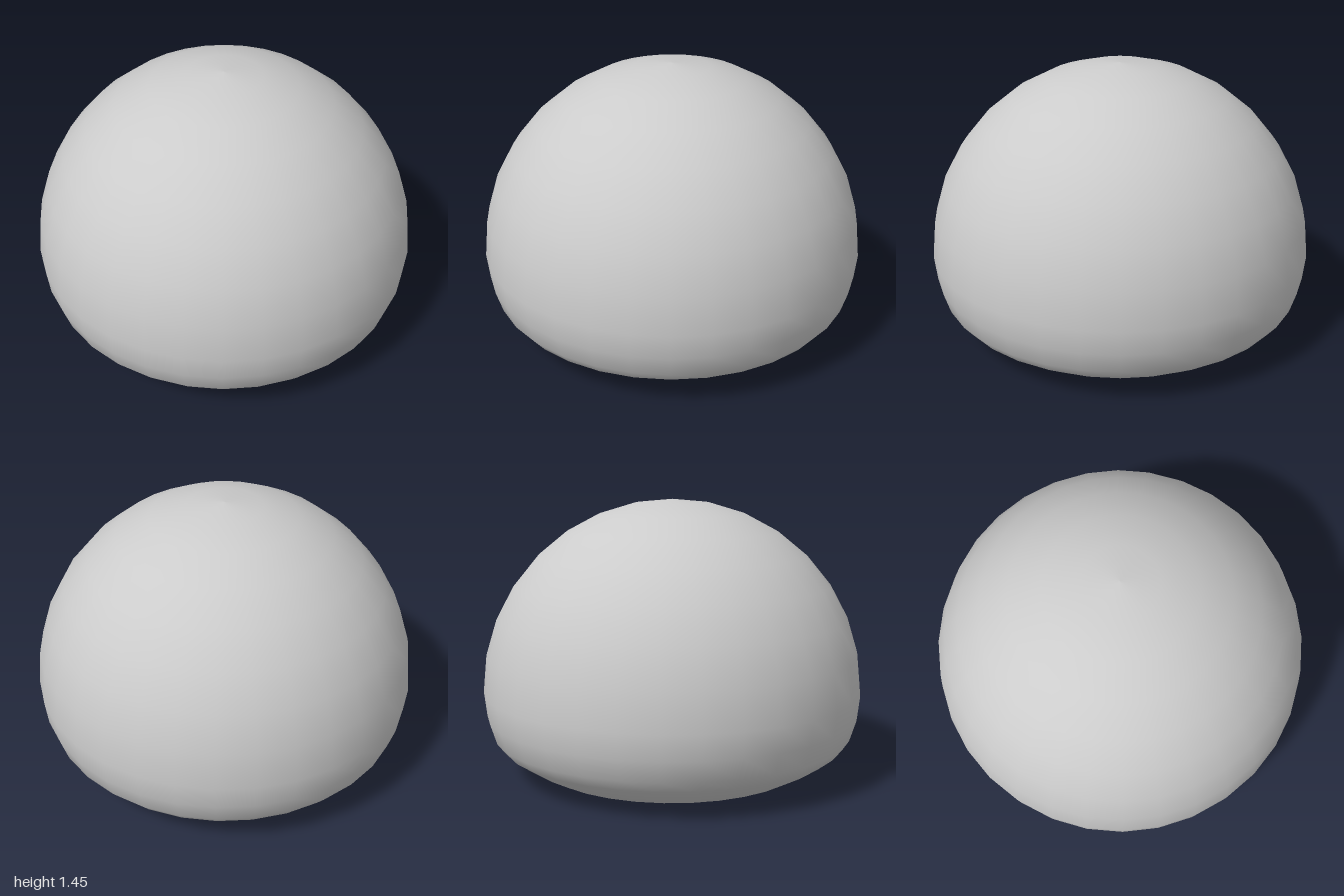
import * as THREE from 'three';

export function createModel() {
  const group = new THREE.Group();
  group.name = 'dimpledDome';
  const profile = [];

  // Dimple under the middle, rounding out into the base
  const underside = [
    [0, 0.23], [0.07, 0.225], [0.12, 0.205], [0.17, 0.155], [0.23, 0.095],
    [0.31, 0.045], [0.42, 0.013], [0.52, 0], [0.6, 0.004],
    // Rounded lower edge
    [0.7, 0.03], [0.8, 0.083], [0.9, 0.15], [0.95, 0.21], [0.985, 0.32],
  ];
  for (const [r, y] of underside) profile.push(new THREE.Vector2(r, y));

  // Hemispherical top
  const rings = 8;
  for (let i = 0; i <= rings; i++) {
    const a = (i / rings) * Math.PI / 2;
    profile.push(new THREE.Vector2(i === rings ? 0 : Math.cos(a), 0.45 + Math.sin(a)));
  }

  const dome = new THREE.Mesh(
    new THREE.LatheGeometry(profile, 32),
    new THREE.MeshStandardMaterial({ color: 0xcccccc })
  );
  dome.name = 'dome';
  group.add(dome);
  return group;
}
